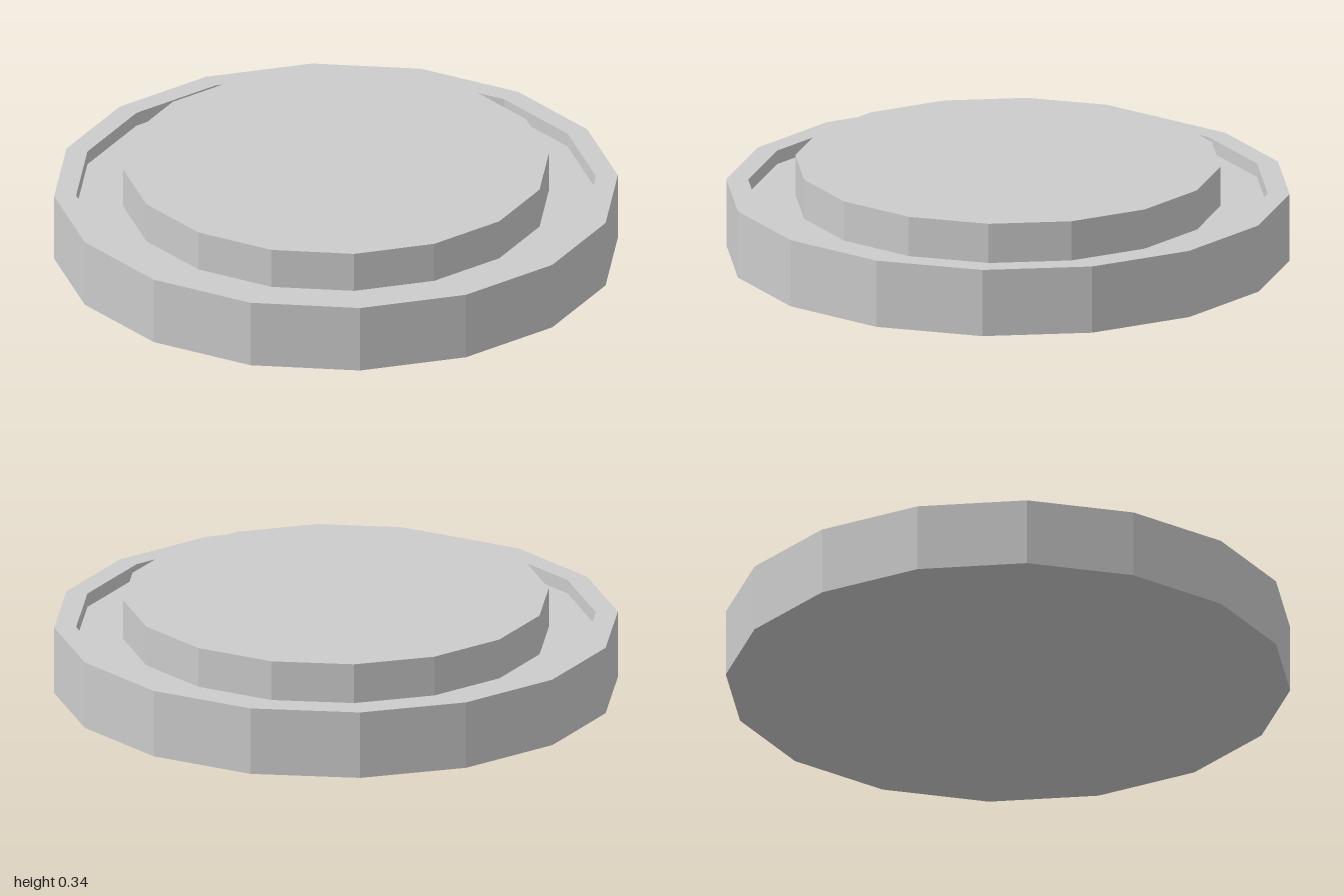
import * as THREE from 'three';

const SIDES = 16;

// Faceted turned part from [radius, height] pairs, listed bottom to top
function turned(name, profile) {
  const points = profile.map(([r, y]) => new THREE.Vector2(r, y));
  const material = new THREE.MeshStandardMaterial({ color: 0xcccccc, flatShading: true });
  const mesh = new THREE.Mesh(new THREE.LatheGeometry(points, SIDES), material);
  mesh.name = name;
  return mesh;
}

export function createModel() {
  const group = new THREE.Group();
  group.name = 'roundButton';

  // Dish-shaped base: underside, outer wall, raised rim and sunken floor
  group.add(turned('base', [
    [0, 0], [1, 0], [1, 0.245], [0.922, 0.245], [0.922, 0.195], [0.755, 0.195],
  ]));

  // Raised centre disc standing on the floor of the base
  group.add(turned('centreDisc', [
    [0.755, 0.195], [0.755, 0.34], [0, 0.34],
  ]));

  return group;
}
